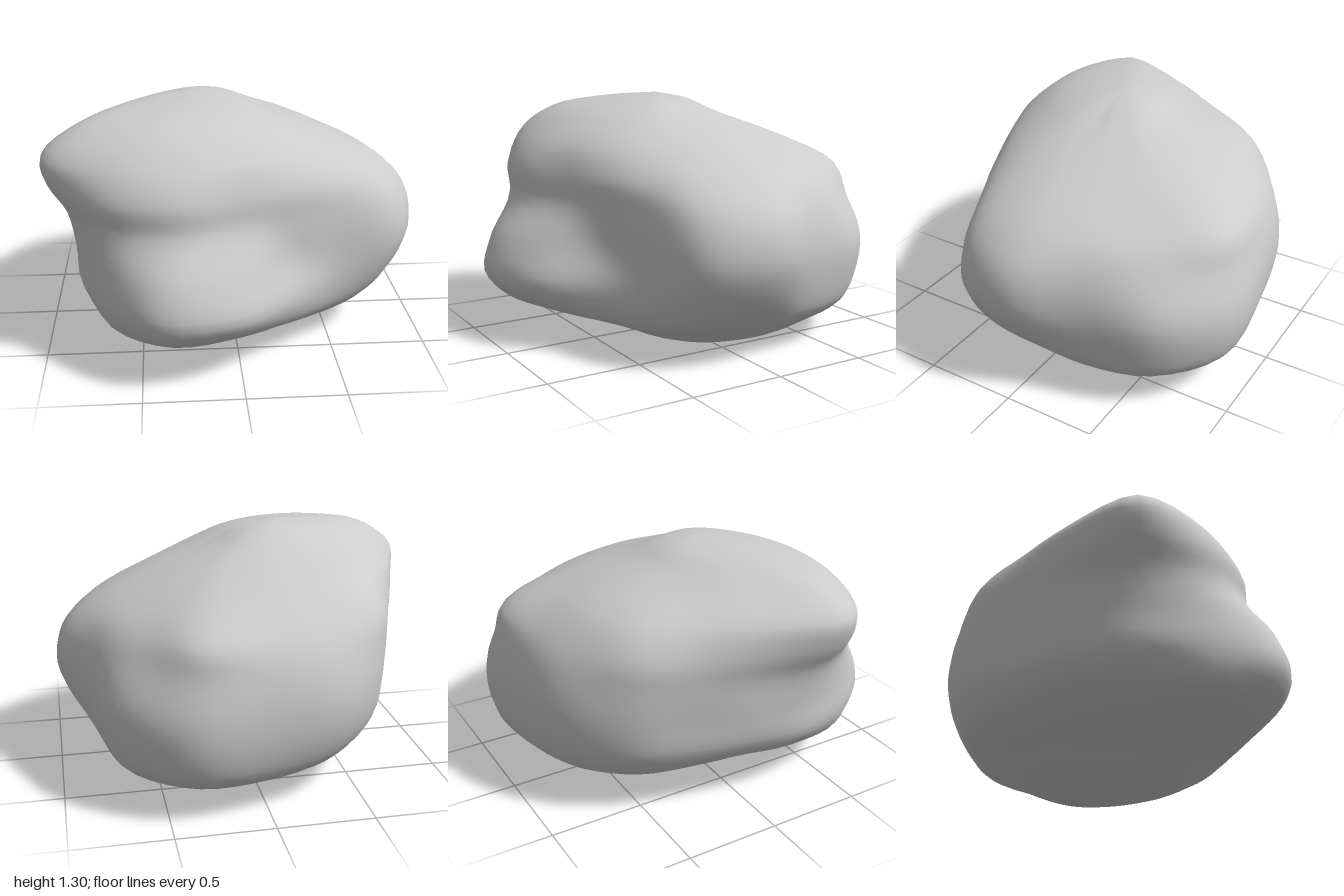
import * as THREE from 'three';
import { mergeVertices } from 'three/addons/utils/BufferGeometryUtils.js';

// Horizontal cross-sections: height, then 16 radii from +x turning towards +z
const SECTIONS = [
  { y: 0.10, r: [.63, .59, .52, .45, .43, .44, .38, .31, .29, .33, .45, .57, .67, .75, .78, .70] },
  { y: 0.20, r: [.76, .75, .66, .66, .75, .90, .89, .72, .61, .63, .72, .80, .86, .96, .94, .83] },
  { y: 0.35, r: [.90, .87, .71, .72, .90, 1.04, .97, .88, .78, .77, .84, .90, .93, 1.03, 1.00, .89] },
  { y: 0.55, r: [.99, .94, .71, .66, .82, .99, .97, .90, .82, .80, .88, .94, .95, 1.04, 1.02, .92] },
  { y: 0.75, r: [.96, .90, .70, .64, .69, .85, .95, .94, .84, .82, .88, .91, .92, .98, .93, .89] },
  { y: 0.90, r: [.82, .78, .67, .63, .67, .84, .97, 1.03, .88, .82, .86, .84, .85, .93, .82, .80] },
  { y: 1.05, r: [.54, .53, .52, .54, .60, .74, .91, 1.06, .86, .75, .74, .69, .65, .65, .57, .53] },
  { y: 1.20, r: [.15, .18, .23, .29, .37, .51, .70, .85, .62, .46, .37, .31, .27, .23, .18, .16] },
];
const BOTTOM = new THREE.Vector3(0.27, 0, -0.18);
const TOP = new THREE.Vector3(-0.18, 1.3, 0);
const AROUND = 64;
const UP = 44;

// Smooth closed loop through one cross-section
function sectionLoop({ y, r }) {
  const points = r.map((radius, i) => {
    const a = (i / r.length) * Math.PI * 2;
    return new THREE.Vector3(Math.cos(a) * radius, y, Math.sin(a) * radius);
  });
  const curve = new THREE.CatmullRomCurve3(points, true);
  return Array.from({ length: AROUND }, (_, j) => curve.getPoint(j / AROUND));
}

// Smaller loop that rounds the body off towards a pole
function capLoop(loop, pole, scale, y) {
  return loop.map((p) => pole.clone().lerp(p, scale).setY(y));
}

function createRockGeometry() {
  const loops = SECTIONS.map(sectionLoop);
  const low = capLoop(loops[0], BOTTOM, 0.62, 0.022);
  const high = capLoop(loops[loops.length - 1], TOP, 0.5, 1.27);
  const positions = [];
  const indices = [];
  for (let j = 0; j < AROUND; j++) {
    // Curve from the underside to the crown
    const rib = new THREE.CatmullRomCurve3(
      [BOTTOM, low[j], ...loops.map((l) => l[j]), high[j], TOP]);
    for (let i = 0; i <= UP; i++) {
      const p = rib.getPoint(i / UP);
      positions.push(p.x, Math.max(0, p.y), p.z);
    }
  }
  const id = (i, j) => (j % AROUND) * (UP + 1) + i;
  for (let j = 0; j < AROUND; j++) {
    for (let i = 0; i < UP; i++) {
      const a = id(i, j), b = id(i + 1, j), c = id(i + 1, j + 1), d = id(i, j + 1);
      if (i < UP - 1) indices.push(a, b, c);
      else indices.push(a, b, d);
      if (i > 0 && i < UP - 1) indices.push(a, c, d);
    }
  }
  let geometry = new THREE.BufferGeometry();
  geometry.setAttribute('position', new THREE.Float32BufferAttribute(positions, 3));
  geometry.setIndex(indices);
  geometry = mergeVertices(geometry, 1e-4);
  geometry.computeVertexNormals();
  return geometry;
}

export function createModel() {
  const group = new THREE.Group();
  group.name = 'boulder';
  const rock = new THREE.Mesh(
    createRockGeometry(), new THREE.MeshStandardMaterial({ color: 0xcccccc }));
  rock.name = 'rock';
  group.add(rock);
  return group;
}
